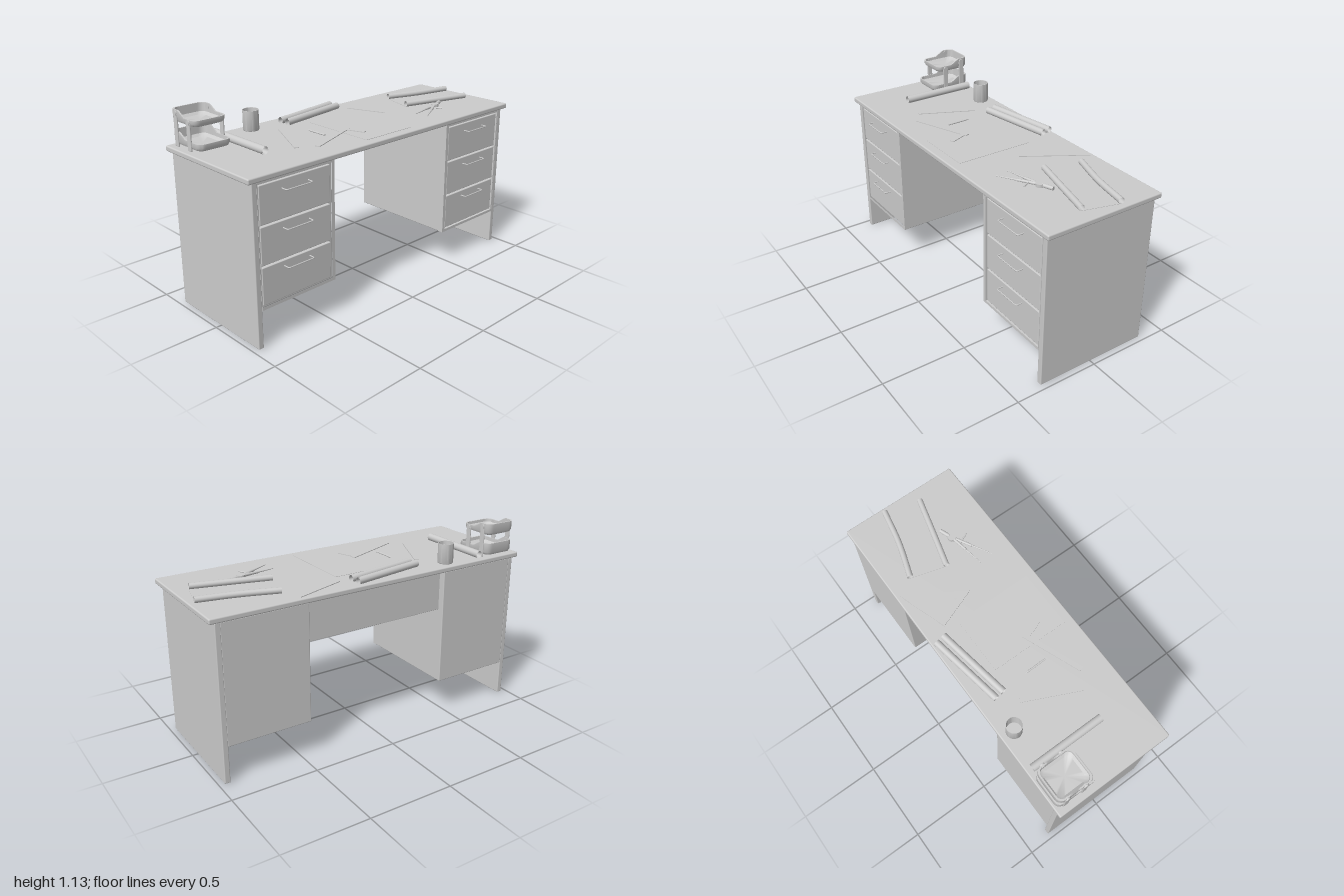
import * as THREE from 'three';
import { toCreasedNormals } from 'three/addons/utils/BufferGeometryUtils.js';
import { RoundedBoxGeometry } from 'three/addons/geometries/RoundedBoxGeometry.js';

const mat = new THREE.MeshStandardMaterial({ color: 0xcccccc });
const thin = new THREE.MeshStandardMaterial({ color: 0xcccccc, side: THREE.DoubleSide });
const TOP = 0.931; // height of the desk surface
const V = (x, y, z) => new THREE.Vector3(x, y, z);

function add(parent, name, geo, material = mat) {
  const m = new THREE.Mesh(geo, material);
  m.name = name;
  parent.add(m);
  return m;
}

// Softly rounded box given by its limits
function block(parent, name, x0, x1, y0, y1, z0, z1, r = 0.005) {
  const m = add(parent, name, new RoundedBoxGeometry(Math.abs(x1 - x0), y1 - y0, z1 - z0, 2, r));
  m.position.set((x0 + x1) / 2, (y0 + y1) / 2, (z0 + z1) / 2);
  return m;
}

// Straight rod between two points, tapered if r1 differs
function rod(parent, name, a, b, r0, r1 = r0, open = false) {
  const dir = b.clone().sub(a);
  const m = add(parent, name, new THREE.CylinderGeometry(r1, r0, dir.length(), 16, 1, open), open ? thin : mat);
  m.position.copy(a).add(b).multiplyScalar(0.5);
  m.quaternion.setFromUnitVectors(V(0, 1, 0), dir.normalize());
  return m;
}

// Flat plate from [x, z] outlines lying on the desk
function plate(parent, name, outline, hole, y = TOP, t = 0.004) {
  const pts = (l) => l.map(([x, z]) => new THREE.Vector2(x, -z));
  const s = new THREE.Shape(pts(outline));
  if (hole) s.holes.push(new THREE.Path(pts(hole)));
  const g = new THREE.ExtrudeGeometry(s, { depth: t, bevelEnabled: false });
  g.rotateX(-Math.PI / 2).translate(0, y, 0);
  return add(parent, name, g);
}

// Flat strip from a to b, both [x, z]
function strip(parent, name, a, b, w, y, t) {
  const l = Math.hypot(b[0] - a[0], b[1] - a[1]);
  const nx = (-(b[1] - a[1]) / l) * w / 2, nz = ((b[0] - a[0]) / l) * w / 2;
  return plate(parent, name, [[a[0] + nx, a[1] + nz], [b[0] + nx, b[1] + nz],
    [b[0] - nx, b[1] - nz], [a[0] - nx, a[1] - nz]], null, y, t);
}

// Letter tray: rounded rectangular rings, with the rim rising towards the back
function trayGeometry(w, z0, z1, bottom, low, high) {
  const h = w / 2, d = (z1 - z0) / 2, r = 0.035, zc = (z0 + z1) / 2, n = 80;
  const s = new THREE.Shape();
  s.absarc(h - r, d - r, r, 0, Math.PI / 2);
  s.absarc(r - h, d - r, r, Math.PI / 2, Math.PI);
  s.absarc(r - h, r - d, r, Math.PI, Math.PI * 1.5);
  s.absarc(h - r, r - d, r, Math.PI * 1.5, Math.PI * 2);
  s.closePath();
  const pts = s.getSpacedPoints(n);
  const rim = (z) => low + (high - low) * THREE.MathUtils.clamp((-0.232 - z) / 0.055, 0, 1);
  // [inset, height above the bottom or null for the rim]
  const rings = [[h, 0], [0.022, 0], [0.007, 0.006], [0, 0.02], [0, null],
    [0.008, null], [0.009, 0.022], [0.024, 0.009], [h, 0.009]];
  const pos = [], idx = [];
  for (const [inset, up] of rings) {
    for (const p of pts) {
      const z = zc + p.y * (1 - Math.min(1, inset === h ? 1 : inset / d));
      pos.push(p.x * (1 - inset / h), up === null ? rim(zc + p.y) : bottom + up, z);
    }
  }
  for (let i = 0; i < rings.length - 1; i++) {
    for (let j = 0; j < n; j++) {
      const a = i * (n + 1) + j, b = a + n + 1;
      idx.push(a, b, a + 1, a + 1, b, b + 1);
    }
  }
  const g = new THREE.BufferGeometry();
  g.setAttribute('position', new THREE.Float32BufferAttribute(pos, 3));
  g.setIndex(idx);
  return toCreasedNormals(g, 0.7);
}

// Side panel, drawer cabinet, drawers and handles for one side
function pedestal(s) {
  const g = new THREE.Group();
  g.name = s > 0 ? 'leftPedestal' : 'rightPedestal';
  block(g, 'sidePanel', s * 0.936, s * 0.968, 0, 0.9, -0.354, 0.333);
  block(g, 'cabinetBody', s * 0.444, s * 0.94, 0.212, 0.9, -0.354, 0.31);
  const rect = (P, x0, x1, y0, y1) => new P([[x0, y0], [x1, y0], [x1, y1], [x0, y1]]
    .map(([x, y]) => new THREE.Vector2(s * x, y)));
  const frame = rect(THREE.Shape, 0.444, 0.937, 0.212, 0.9);
  frame.holes.push(rect(THREE.Path, 0.465, 0.931, 0.228, 0.882));
  add(g, 'cabinetFrame', new THREE.ExtrudeGeometry(frame, { depth: 0.033, bevelEnabled: false }))
    .position.z = 0.3;
  for (let i = 0; i < 3; i++) {
    const y = 0.667 - i * 0.2165;
    block(g, 'drawerFront', s * 0.471, s * 0.925, y, y + 0.207, 0.3, 0.329, 0.004);
    // Bent wire handle
    const hy = 0.827 - i * 0.2085, xc = s * 0.7, w = 0.084;
    const path = new THREE.CurvePath();
    const p = [V(xc - w, hy, 0.325), V(xc - w, hy, 0.353), V(xc - w, hy, 0.365), V(xc - w + 0.012, hy, 0.365),
      V(xc + w - 0.012, hy, 0.365), V(xc + w, hy, 0.365), V(xc + w, hy, 0.353), V(xc + w, hy, 0.325)];
    path.add(new THREE.LineCurve3(p[0], p[1]));
    path.add(new THREE.QuadraticBezierCurve3(p[1], p[2], p[3]));
    path.add(new THREE.LineCurve3(p[3], p[4]));
    path.add(new THREE.QuadraticBezierCurve3(p[4], p[5], p[6]));
    path.add(new THREE.LineCurve3(p[6], p[7]));
    add(g, 'drawerHandle', new THREE.TubeGeometry(path, 60, 0.0035, 8));
  }
  return g;
}

// Two stacked trays joined by four posts
function organizer() {
  const g = new THREE.Group();
  g.name = 'letterTrays';
  add(g, 'lowerTray', trayGeometry(0.2, -0.354, -0.1, 0.938, 0.98, 1.012));
  add(g, 'upperTray', trayGeometry(0.2, -0.354, -0.136, 1.058, 1.096, 1.127));
  for (const s of [-1, 1]) {
    for (const [z, y] of [[-0.188, 1.08], [-0.305, 1.108]]) {
      block(g, 'trayPost', s * 0.096, s * 0.105, TOP, y, z - 0.016, z + 0.016, 0.003);
      rod(g, 'trayPin', V(s * 0.09, y, z), V(s * 0.107, y, z), 0.014);
    }
  }
  g.position.x = -0.86;
  return g;
}

// Drafting compass lying on the desk
function compass() {
  const g = new THREE.Group();
  g.name = 'compass';
  const y = 0.943, hinge = V(0.607, y, 0.098);
  rod(g, 'compassHead', V(0.607, y - 0.009, 0.098), V(0.607, y + 0.009, 0.098), 0.024);
  rod(g, 'compassGrip', V(0.62, y, 0.093), V(0.68, y, 0.07), 0.011);
  for (const tip of [V(0.395, 0.936, 0.222), V(0.385, 0.936, 0.14)]) {
    const mid = hinge.clone().lerp(tip, 0.5);
    rod(g, 'compassLeg', hinge, mid, 0.009, 0.007);
    rod(g, 'compassPoint', mid, tip, 0.005, 0.002);
  }
  rod(g, 'compassScrew', V(0.545, y, 0.108), V(0.58, y, 0.18), 0.004);
  return g;
}

export function createModel() {
  const desk = new THREE.Group();
  desk.name = 'desk';
  block(desk, 'deskTop', -1, 1, 0.9, TOP, -0.365, 0.353, 0.008);
  block(desk, 'backPanel', -0.45, 0.45, 0.662, 0.9, -0.315, -0.292, 0.003);
  desk.add(pedestal(1), pedestal(-1), organizer(), compass());

  // Pencil cup
  const cup = [[0, 0], [0.043, 0], [0.045, 0.003], [0.045, 0.116], [0.042, 0.116], [0.042, 0.006], [0, 0.006]];
  add(desk, 'cup', toCreasedNormals(new THREE.LatheGeometry(cup.map(([x, y]) => new THREE.Vector2(x, y)), 32), 0.6))
    .position.set(-0.503, TOP, -0.286);

  // Rolled papers, each with a smaller inner turn
  for (const [a, b, r] of [[[-0.718, -0.33], [-0.718, 0.117], 0.022],
    [[-0.313, -0.26], [0.13, -0.335], 0.02], [[-0.305, -0.208], [0.14, -0.283], 0.02]]) {
    const y = TOP + r;
    rod(desk, 'rolledPaper', V(a[0], y, a[1]), V(b[0], y, b[1]), r, r, true);
    rod(desk, 'rolledPaperInside', V(a[0], y, a[1]), V(b[0], y, b[1]), r * 0.75, r * 0.75, true);
  }

  // Half-open plan with curled, slightly bowed ends
  const curls = [[[0.537, -0.232], [0.75, -0.165], [0.968, -0.12]], [[0.48, -0.027], [0.697, 0.03], [0.912, 0.085]]];
  const curves = curls.map((c) => new THREE.CatmullRomCurve3(c.map(([x, z]) => V(x, TOP + 0.017, z))));
  for (const c of curves) add(desk, 'planCurl', new THREE.TubeGeometry(c, 16, 0.017, 16), thin);
  const edge = (c) => c.getPoints(12).map((p) => [p.x, p.z]);
  plate(desk, 'planSheet', [...edge(curves[0]), ...edge(curves[1]).reverse()], null, TOP, 0.002);

  // Paper sheet, rulers and pencil
  plate(desk, 'paperSheet', [[-0.178, -0.168], [0.168, -0.168], [0.168, 0.298], [-0.178, 0.298]], null, TOP, 0.002);
  strip(desk, 'ruler', [-0.39, -0.165], [-0.535, 0.145], 0.025, TOP, 0.004);
  strip(desk, 'squareLongArm', [-0.445, 0.205], [-0.105, 0.072], 0.028, TOP + 0.002, 0.004);
  strip(desk, 'squareShortArm', [-0.128, 0.075], [-0.085, 0.19], 0.026, TOP + 0.002, 0.004);
  rod(desk, 'pencil', V(-0.288, TOP + 0.005, -0.035), V(-0.286, TOP + 0.005, 0.085), 0.005);
  rod(desk, 'pencilTip', V(-0.288, TOP + 0.005, -0.035), V(-0.288, TOP + 0.005, -0.053), 0.005, 0.001);

  // Set square: the hole is the outline shrunk towards its incentre
  const tri = [[0.19, -0.245], [0.485, -0.342], [0.28, -0.01]];
  const hole = tri.map(([x, z]) => [0.297 + (x - 0.297) * 0.57, -0.192 + (z + 0.192) * 0.57]);
  plate(desk, 'setSquare', tri, hole);
  return desk;
}
